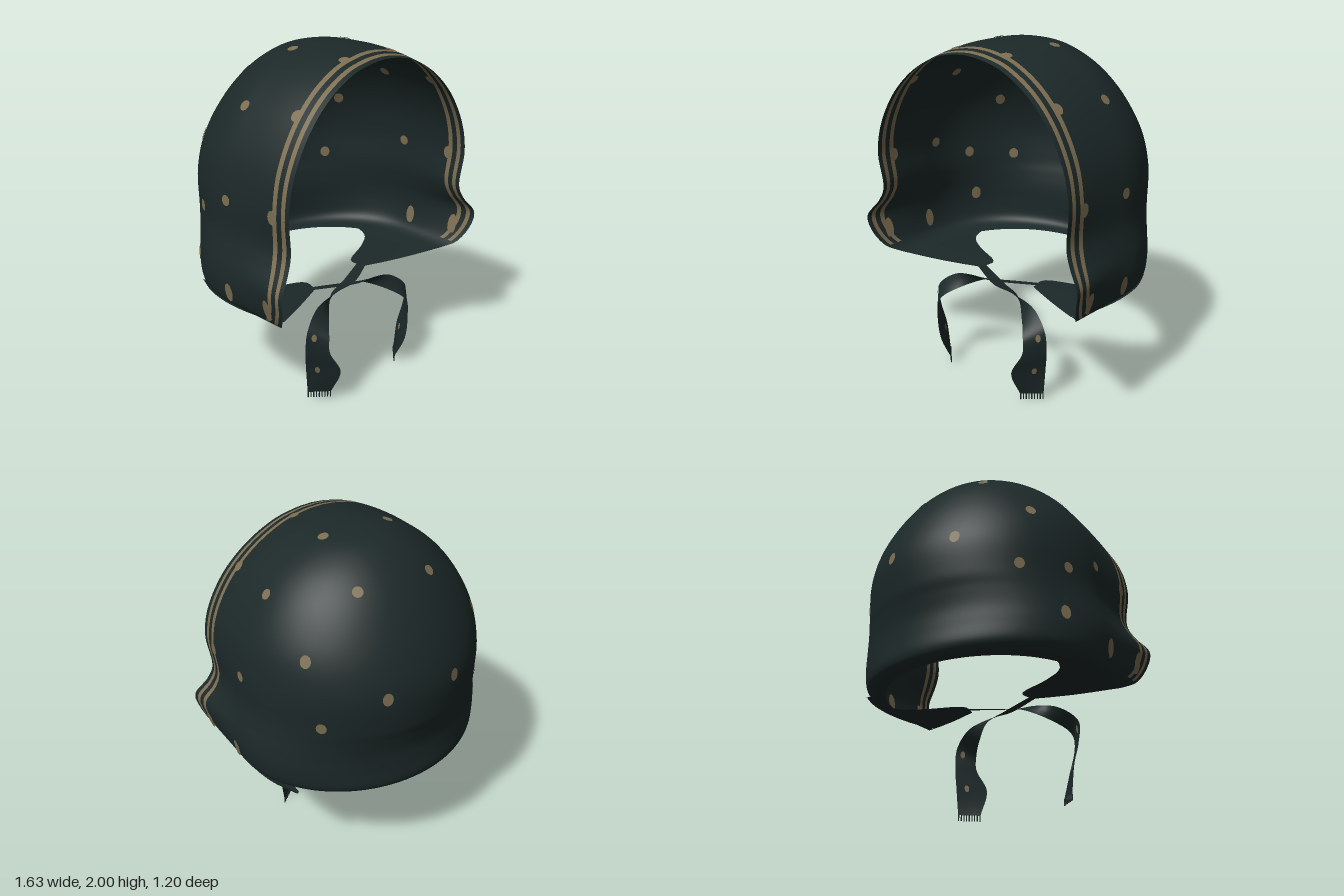
import * as THREE from 'three';
import { mergeVertices } from 'three/addons/utils/BufferGeometryUtils.js';

const V = (x, y, z) => new THREE.Vector3(x, y, z);
const spline = (pts) => new THREE.CatmullRomCurve3(pts.map((p) => V(...p)), false, 'catmullrom', 0.5);

// Smooth sheet through a grid of points; cells picked by isTrim(row, column) get the second material
function sheet(rows, isTrim = () => false) {
  const n = rows[0].length;
  const cells = [[], []];
  for (let i = 0; i < rows.length - 1; i++) {
    for (let j = 0; j < n - 1; j++) {
      const a = i * n + j, b = a + 1, c = a + n, d = c + 1;
      cells[isTrim(i, j) ? 1 : 0].push(a, c, b, b, c, d);
    }
  }
  const flat = rows.flat().flatMap((p) => [p.x, p.y, p.z]);
  const g = new THREE.BufferGeometry();
  g.setAttribute('position', new THREE.Float32BufferAttribute(flat, 3));
  g.setIndex([...cells[0], ...cells[1]]);
  g.addGroup(0, cells[0].length, 0);
  if (cells[1].length) g.addGroup(cells[0].length, cells[1].length, 1);
  const merged = mergeVertices(g, 1e-5);
  merged.computeVertexNormals();
  return merged;
}

// Hood profile: y, half width at the middle, half width at the rim, z of the rim, z of the back
const PROFILE = [
  [2.0, 0, 0, 0.53, 0.1], [1.99, 0.11, 0.11, 0.53, -0.01], [1.95, 0.26, 0.26, 0.53, -0.155],
  [1.85, 0.43, 0.43, 0.535, -0.3], [1.7, 0.575, 0.575, 0.545, -0.425], [1.5, 0.685, 0.68, 0.555, -0.535],
  [1.3, 0.725, 0.72, 0.56, -0.595], [1.1, 0.73, 0.7, 0.55, -0.585], [1.0, 0.745, 0.735, 0.565, -0.56],
  [0.9, 0.765, 0.81, 0.597, -0.54], [0.8, 0.77, 0.795, 0.585, -0.54], [0.7, 0.75, 0.75, 0.53, -0.545],
  [0.655, 0.7, 0.7, 0.46, -0.52], [0.64, 0.62, 0.64, 0.42, -0.46],
];
const MID_Z = 0.1;

function hoodGeometry() {
  const rim = spline(PROFILE.map(([y, , xr, zr]) => [xr, y, zr]));
  const back = spline(PROFILE.map(([y, xm, , , zb]) => [xm, y, zb]));
  const rows = [];
  const ROWS = 78;
  for (let i = 0; i <= ROWS; i++) {
    const r = rim.getPoint(i / ROWS), b = back.getPoint(i / ROWS);
    const zs = [0, 0.029, 0.056, 0.088, 0.117].map((o) => r.z - o);
    const start = zs[4];
    for (let k = 1; k <= 8; k++) zs.push(start + (MID_Z - start) * k / 8);
    // Straight side flaring to the rim, then a rounded back
    const half = zs.map((z) => {
      const f = Math.max(0, (z - MID_Z) / (r.z - MID_Z));
      const s = Math.max(0, (z - 0.2) / 0.33);
      const dip = 0.045 * s * s * THREE.MathUtils.smoothstep(r.y, 1.2, 2);
      return V(b.x + (r.x - b.x) * f ** 1.5, r.y - dip, z);
    });
    for (let k = 1; k <= 26; k++) {
      const a = k / 26 * Math.PI / 2;
      half.push(V(k === 26 ? 0 : b.x * Math.cos(a), r.y, MID_Z + (b.z - MID_Z) * Math.sin(a)));
    }
    const other = half.slice(0, -1).reverse().map((p) => V(-p.x, p.y, p.z));
    rows.push([...half, ...other]);
  }
  // Stripes stop just above the hem
  const n = rows[0].length;
  return sheet(rows, (i, j) => [1, 3, n - 3, n - 5].includes(j) && rows[i][0].y > 0.69);
}

// Spot positions on the +x half, mirrored later: x, y, z, stretch
const SPOTS = [
  [0.2, 1.975, 0.06, 1], [0.56, 1.735, 0.06, 1], [0.73, 1.265, 0.1, 1], [0.77, 0.77, 0.14, 1.9],
  [0.225, 1.825, -0.31, 1], [0.555, 1.53, -0.31, 1.2], [0.5, 1.13, -0.4, 1.1], [0.22, 1.305, -0.57, 1.25],
  [0.18, 1.96, 0.42, 1], [0.53, 1.735, 0.42, 1.1], [0.72, 1.28, 0.43, 1.3], [0.78, 0.79, 0.45, 2.2],
];
// Spots on the right side only
const RIGHT_SPOTS = [[-0.71, 1.15, -0.16, 1.1], [-0.69, 0.86, -0.21, 1.4]];

// Closest surface point and its normal
function snap(geometry, target) {
  const pos = geometry.attributes.position, nor = geometry.attributes.normal;
  let best = 0, bestD = Infinity;
  const p = V(0, 0, 0);
  for (let i = 0; i < pos.count; i++) {
    const d = p.fromBufferAttribute(pos, i).distanceToSquared(target);
    if (d < bestD) { bestD = d; best = i; }
  }
  return [V(0, 0, 0).fromBufferAttribute(pos, best), V(0, 0, 0).fromBufferAttribute(nor, best)];
}

export function createModel() {
  const cloth = new THREE.MeshStandardMaterial({ name: 'darkCloth', color: 0x1c2828, side: THREE.DoubleSide });
  const tan = new THREE.MeshStandardMaterial({ name: 'tanTrim', color: 0x7b6d51, side: THREE.DoubleSide });
  const group = new THREE.Group();
  group.name = 'bonnet';
  const add = (geometry, material, name, parent = group) => {
    const m = new THREE.Mesh(geometry, material);
    m.name = name;
    parent.add(m);
    return m;
  };

  // Hood with two stripes around the opening
  const hood = hoodGeometry();
  add(hood, [cloth, tan], 'hood');

  // Spots, visible on the outside and the inside
  const spots = new THREE.Group();
  spots.name = 'spots';
  group.add(spots);
  const disc = new THREE.CircleGeometry(0.03, 14);
  const addSpot = (p, n, stretch, size = 1) => {
    for (const off of [0.004, -0.004]) {
      const m = add(disc, tan, 'spot', spots);
      m.position.copy(p).addScaledVector(n, off);
      m.lookAt(m.position.clone().add(n));
      m.scale.set(size, size * stretch, 1);
    }
  };
  const mirrored = SPOTS.map(([x, ...rest]) => [-x, ...rest]);
  for (const [x, y, z, stretch] of [...SPOTS, ...mirrored, ...RIGHT_SPOTS]) {
    const [p, n] = snap(hood, V(x, y, z));
    addSpot(p, n, stretch);
  }

  for (const s of [1, -1]) {
    const side = s > 0 ? 'left' : 'right';

    // Flap folded in under the chin, with a blunt tip and a tapered back corner
    const outer = spline([[0.64, 0.645, 0.43], [0.7, 0.652, 0.3], [0.72, 0.652, 0.1], [0.69, 0.648, -0.1], [0.62, 0.645, -0.27]]);
    const inner = spline([[0.21, 0.615, 0.24], [0.21, 0.618, 0.13], [0.42, 0.615, 0.03], [0.57, 0.618, -0.08], [0.6, 0.642, -0.26]]);
    const rows = [];
    for (let i = 0; i <= 16; i++) {
      const a = outer.getPoint(i / 16), b = inner.getPoint(i / 16);
      rows.push([0, 1, 2, 3, 4].map((k) => {
        const p = a.clone().lerp(b, k / 4);
        return V(s * p.x, p.y - 0.006 * Math.sin(k / 4 * Math.PI), p.z);
      }));
    }
    add(sheet(rows), cloth, side + 'ChinFlap');

    // Tie crossing below the chin: centre line and half-width vectors
    const lift = s > 0 ? 0 : 0.018;
    const path = spline([[-0.26, 0.612, 0.2], [0, 0.597, 0.31], [0.15, 0.578, 0.33], [0.29, 0.525, 0.38],
      [0.38, 0.445, 0.43], [0.385, 0.33, 0.43], [0.345, 0.2, 0.435], [0.335, 0.035, 0.395]]);
    const width = spline([[0.02, 0.004, 0.04], [0, 0.012, 0.045], [0.01, 0.025, 0.035], [0.025, 0.035, -0.02],
      [0.045, 0.02, -0.04], [0.042, 0, -0.055], [0.058, 0, -0.08], [0.05, 0, -0.045]]);
    const at = (t, w) => {
      const p = path.getPoint(t).addScaledVector(width.getPoint(t), w);
      return V(s * p.x, p.y + lift, p.z);
    };
    const strip = [];
    for (let i = 0; i <= 48; i++) strip.push([-1, -0.33, 0.33, 1].map((w) => at(i / 48, w)));
    const tie = sheet(strip);
    add(tie, cloth, side + 'Tie');
    for (const t of [0.6, 0.86]) {
      const [p, n] = snap(tie, at(t, 0.33));
      addSpot(p, n, 1.5, 0.5);
    }

    // Fringe on the tie's end
    const thread = new THREE.BoxGeometry(0.005, 0.037, 0.005);
    for (let k = 0; k < 9; k++) {
      const m = add(thread, cloth, side + 'Fringe');
      m.position.copy(at(1, -0.95 + k * 0.2375));
      m.position.y -= 0.0165;
    }
  }
  return group;
}
